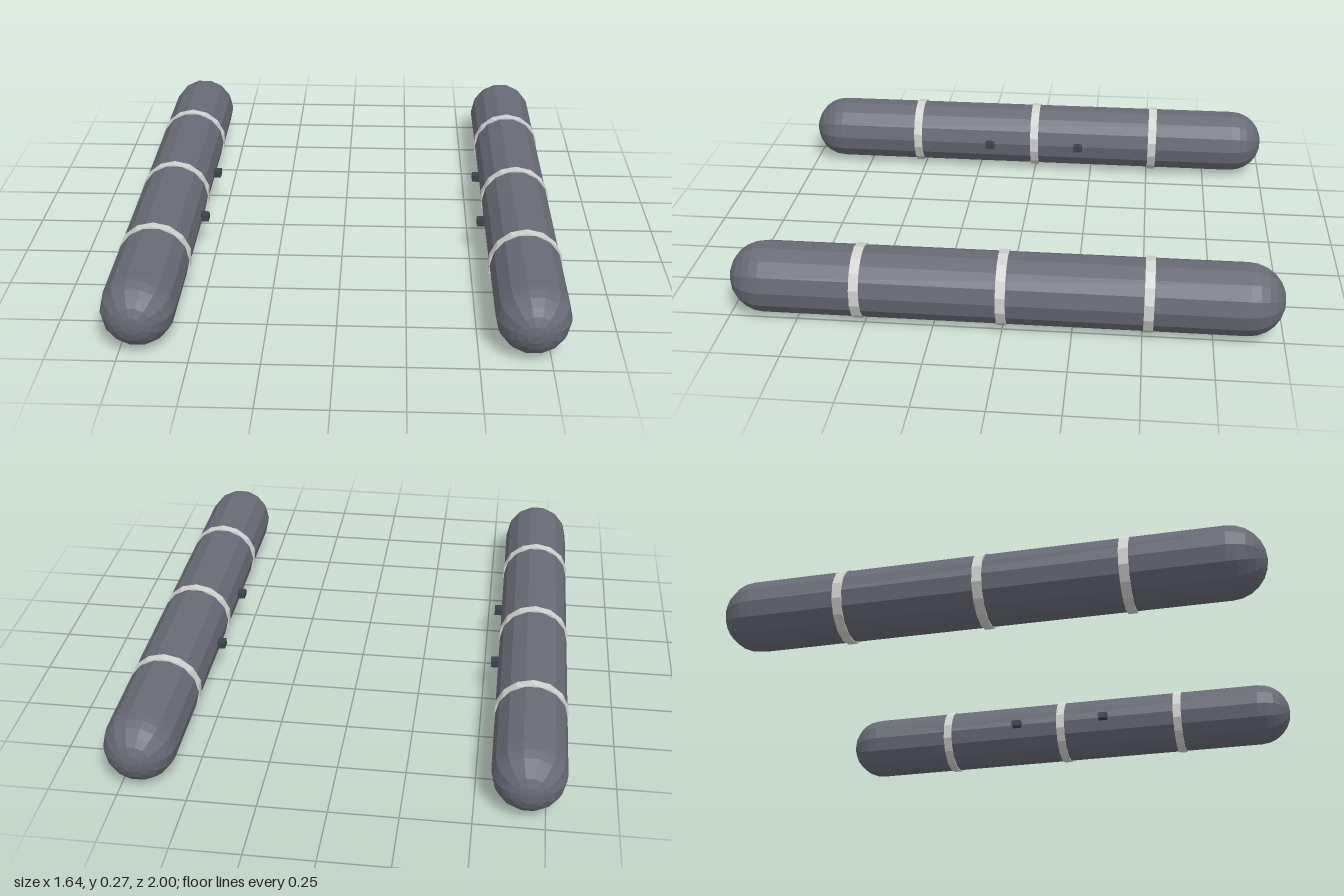
import * as THREE from 'three';

const SIDES = 14, RADIUS = 0.132, HALF = 1, AXIS_Y = 0.137, AXIS_X = 0.686;

function flat(name, color) {
  const m = new THREE.MeshStandardMaterial({ color, flatShading: true });
  m.name = name;
  return m;
}

// Round-ended tube lying along z
function tubeGeometry() {
  const steps = 6, profile = [];
  for (const end of [-1, 1]) {
    for (let i = 0; i <= steps; i++) {
      const k = end < 0 ? i : steps - i;
      const a = (k / steps) * Math.PI / 2;
      profile.push(new THREE.Vector2(
        RADIUS * Math.sin(a),
        end * (HALF - RADIUS + RADIUS * Math.cos(a))));
    }
  }
  return new THREE.LatheGeometry(profile, SIDES).rotateY(Math.PI / 2).rotateX(Math.PI / 2);
}

export function createModel() {
  const model = new THREE.Group();
  model.name = 'floats';
  const tubeGrey = flat('tubeGrey', 0x686b75);
  const bandSilver = flat('bandSilver', 0xd2d3d0);
  const lugDark = flat('lugDark', 0x3c434a);

  const tube = tubeGeometry();
  const band = new THREE.CylinderGeometry(AXIS_Y, AXIS_Y, 0.035, SIDES).rotateX(Math.PI / 2);
  const lug = new THREE.BoxGeometry(0.05, 0.026, 0.038);

  for (const side of [-1, 1]) {
    const float = new THREE.Group();
    float.name = side > 0 ? 'leftFloat' : 'rightFloat';
    float.position.set(side * AXIS_X, AXIS_Y, 0);

    const add = (geometry, material, name, x, z) => {
      const mesh = new THREE.Mesh(geometry, material);
      mesh.name = name;
      mesh.position.set(x, 0, z);
      float.add(mesh);
    };
    add(tube, tubeGrey, 'tube', 0, 0);
    // Straps around the tube
    for (const z of [-0.52, 0, 0.52]) add(band, bandSilver, 'band', 0, z);
    // Mounting lugs on the inner side
    for (const z of [-0.195, 0.195]) add(lug, lugDark, 'mountingLug', -side * 0.135, z);
    model.add(float);
  }
  return model;
}
